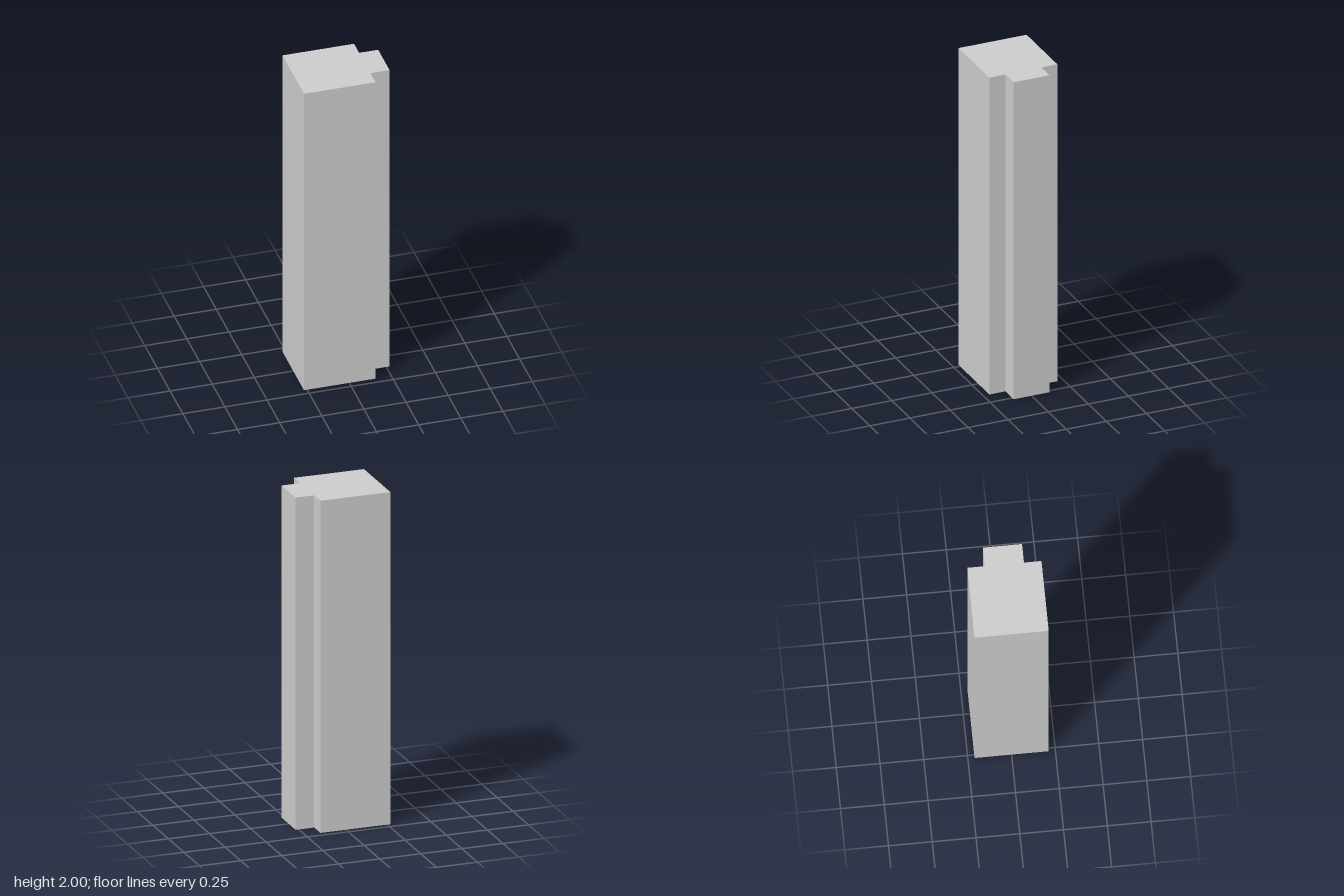
import * as THREE from 'three';

export function createModel() {
  const group = new THREE.Group();
  group.name = 'tonguedPost';

  // Plan outline: a square post with a tongue along its left (+x) side
  const back = -0.269, shoulder = 0.156, tip = 0.269;
  const halfPost = 0.212, halfTongue = 0.112, height = 2;
  const half = [[back, halfPost], [shoulder, halfPost], [shoulder, halfTongue], [tip, halfTongue]];
  const mirrored = half.map(([x, z]) => [x, -z]);
  const outline = [...mirrored, ...half.reverse()].map(([x, z]) => new THREE.Vector2(x, z));

  // Extrude the outline upwards from the ground
  const geometry = new THREE.ExtrudeGeometry(new THREE.Shape(outline), { depth: height, bevelEnabled: false });
  geometry.rotateX(-Math.PI / 2);

  const post = new THREE.Mesh(geometry, new THREE.MeshStandardMaterial({ color: 0xcccccc, flatShading: true }));
  post.name = 'post';
  group.add(post);
  return group;
}
